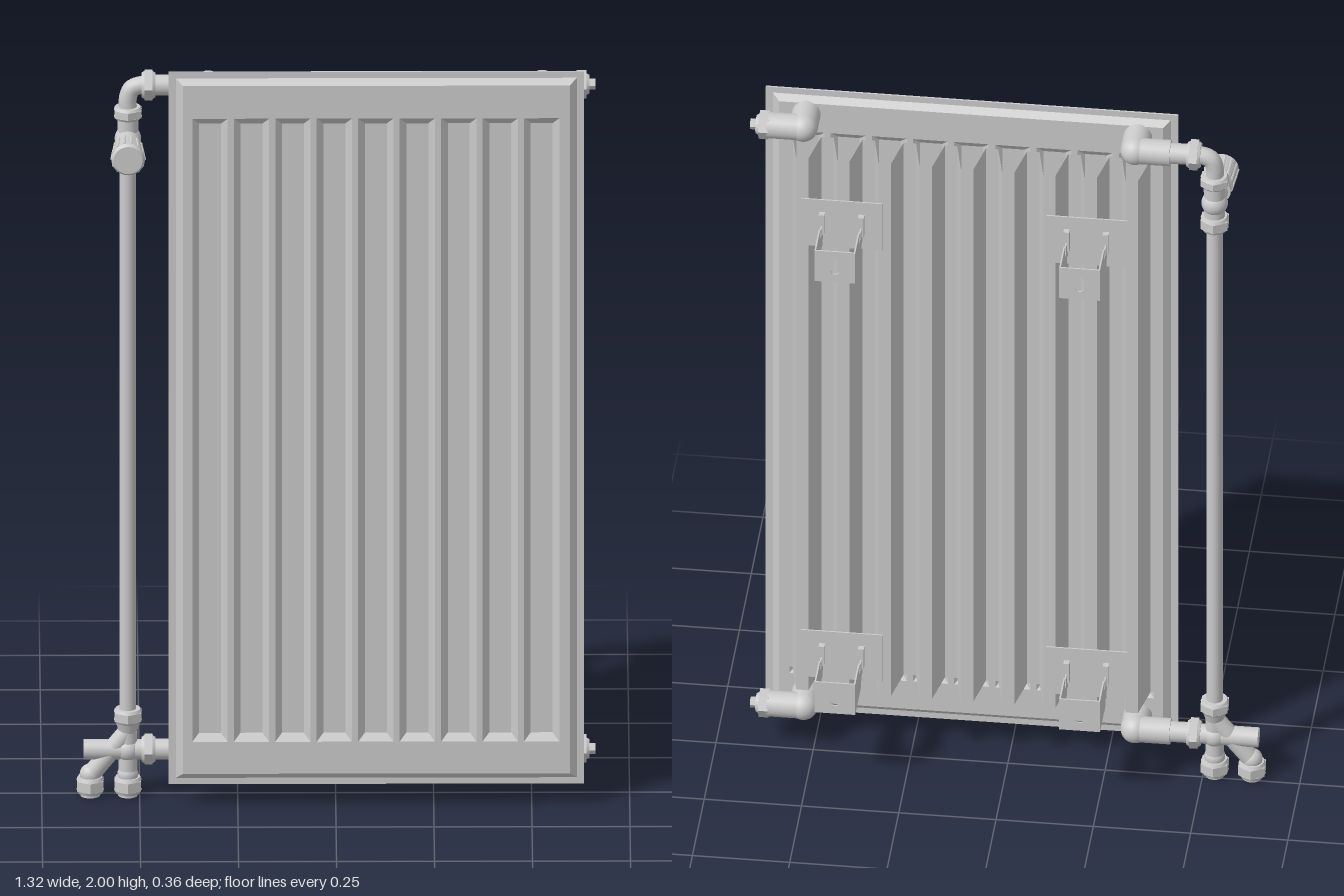
import * as THREE from 'three';

const smooth = new THREE.MeshStandardMaterial({ color: 0xcccccc });
const flat = new THREE.MeshStandardMaterial({ color: 0xcccccc, flatShading: true });
const sheet = new THREE.MeshStandardMaterial({ color: 0xcccccc, flatShading: true, side: THREE.DoubleSide });
const V = (x, y, z) => new THREE.Vector3(x, y, z);

const PITCH = 0.1058, FIRST = -0.321, COUNT = 9; // pressed grooves and fins
const AX = 0.015;   // depth of the pipe axis
const PIPE_X = -0.53;
const TOP = 1.935, LOW = 0.125; // heights of the connections

function add(parent, name, geometry, material = smooth) {
  const mesh = new THREE.Mesh(geometry, material);
  mesh.name = name;
  parent.add(mesh);
  return mesh;
}

// Cylinder or cone running from a to b
function rod(parent, name, a, b, r0, r1 = r0, sides = 24) {
  const dir = b.clone().sub(a);
  const mesh = add(parent, name, new THREE.CylinderGeometry(r1, r0, dir.length(), sides), sides < 12 ? flat : smooth);
  mesh.position.copy(a).lerp(b, 0.5);
  mesh.quaternion.setFromUnitVectors(V(0, 1, 0), dir.normalize());
  return mesh;
}

// Hexagonal nut with a round chamfered collar at each end
function nut(parent, name, a, b, r = 0.04) {
  const p = a.clone().lerp(b, 0.2), q = a.clone().lerp(b, 0.8);
  rod(parent, name, p, q, r, r, 6);
  rod(parent, name + 'Collar', a, p, r * 0.8, r * 0.9);
  rod(parent, name + 'Collar', q, b, r * 0.9, r * 0.8);
}

function ball(parent, name, p, r) {
  add(parent, name, new THREE.SphereGeometry(r, 24, 16)).position.copy(p);
}

// Pressed steel sheet: flat rim, raised field, recessed grooves
function pressedSheet(rim, field, groove, facing) {
  const xs = [[-0.427, 0], [-0.408, 0], [-0.39, 1]];
  for (let i = 0; i < COUNT; i++) {
    const c = FIRST + i * PITCH;
    xs.push([c - 0.045, 1], [c - 0.028, 2], [c + 0.028, 2], [c + 0.045, 1]);
  }
  xs.push([0.597, 1], [0.615, 0], [0.633, 0]);
  const ys = [[0.06, 0], [0.077, 0], [0.093, 1], [0.18, 1], [0.2, 2], [1.86, 2], [1.878, 1], [1.967, 1], [1.983, 0], [2, 0]];
  const levels = [rim, field, groove];
  const point = (i, j) => V(xs[i][0], ys[j][0], levels[Math.min(xs[i][1], ys[j][1])]);
  const pos = [];
  for (let i = 0; i < xs.length - 1; i++) for (let j = 0; j < ys.length - 1; j++) {
    const a = point(i, j), b = point(i + 1, j), c = point(i + 1, j + 1), d = point(i, j + 1);
    const tris = Math.abs(a.z - c.z) >= Math.abs(b.z - d.z) ? [[a, b, c], [a, c, d]] : [[a, b, d], [b, c, d]];
    for (const t of tris) for (const p of facing > 0 ? t : t.reverse()) pos.push(p.x, p.y, p.z);
  }
  const g = new THREE.BufferGeometry();
  g.setAttribute('position', new THREE.Float32BufferAttribute(pos, 3));
  g.computeVertexNormals();
  return g;
}

// Folded convector sheet behind the panel
function finSheet() {
  const line = [[FIRST - 0.066, 0.077]];
  for (let i = 0; i < COUNT; i++) {
    const c = FIRST + i * PITCH;
    line.push([c - 0.037, 0.077], [c - 0.016, -0.021], [c + 0.016, -0.021], [c + 0.037, 0.077]);
  }
  line.push([FIRST + (COUNT - 1) * PITCH + 0.066, 0.077]);
  const g = new THREE.PlaneGeometry(1, 1, line.length - 1, 1);
  const p = g.attributes.position;
  for (let i = 0; i < p.count; i++) {
    const [x, z] = line[i % line.length];
    p.setXYZ(i, x, i < line.length ? 1.865 : 0.2, z);
  }
  return g;
}

// Wall bracket: hanging plate, hooks, notched arms and a slotted back
function bracket(x, y) {
  const g = new THREE.Group();
  g.name = 'wallBracket';
  g.position.set(x, y, 0);
  add(g, 'hangingPlate', new THREE.BoxGeometry(0.21, 0.145, 0.004)).position.set(0, 0.075, -0.026);
  const profile = new THREE.Shape([
    [0.178, 0.095], [0.085, 0.095], [0.085, 0.062], [0.065, 0.062], [0.065, 0.078], [0.042, 0.078], [0.032, 0.052],
    [0.018, 0.042], [0.018, 0.02], [0.038, 0.032], [0.045, 0.012], [0.06, 0.026], [0.06, 0], [0.178, 0],
  ].map(([u, v]) => new THREE.Vector2(u, v)));
  for (const s of [-1, 1]) {
    const arm = add(g, 'bracketArm', new THREE.ExtrudeGeometry(profile, { depth: 0.004, bevelEnabled: false }));
    arm.rotation.y = Math.PI / 2;
    arm.position.x = s * 0.0505 - 0.002;
    add(g, 'hook', new THREE.BoxGeometry(0.015, 0.06, 0.034)).position.set(s * 0.0505, 0.08, -0.027);
  }
  const back = new THREE.Shape();
  back.moveTo(-0.0525, 0).lineTo(0.0525, 0).lineTo(0.0525, 0.095).lineTo(-0.0525, 0.095);
  const slot = new THREE.Path();
  slot.absarc(0, 0.06, 0.011, 0, Math.PI).absarc(0, 0.035, 0.011, Math.PI, Math.PI * 2);
  back.holes.push(slot);
  add(g, 'wallPlate', new THREE.ExtrudeGeometry(back, { depth: 0.004, bevelEnabled: false })).position.z = -0.178;
  return g;
}

// Round elbow leaving the back of the panel and turning sideways
function cornerFitting(parent, x, y, side) {
  const c = V(x, y, AX);
  rod(parent, 'cornerStub', V(x, y, 0.085), c, 0.037);
  ball(parent, 'cornerElbow', c, 0.037);
  rod(parent, 'cornerSleeve', c, V(x + side * 0.092, y, AX), 0.034);
}

export function createModel() {
  const model = new THREE.Group();
  model.name = 'radiator';

  // Panel: two pressed sheets joined at the rim
  const panel = new THREE.Group();
  panel.name = 'panel';
  model.add(panel);
  add(panel, 'frontSheet', pressedSheet(0.096, 0.11, 0.097, 1), flat);
  add(panel, 'backSheet', pressedSheet(0.091, 0.077, 0.09, -1), flat);
  const w = 1.06, h = 1.94;
  for (const s of [-1, 1]) {
    add(panel, 'sideSeam', new THREE.BoxGeometry(0.004, h, 0.005)).position.set(0.103 + s * (w / 2 - 0.002), 1.03, 0.0935);
    add(panel, 'endSeam', new THREE.BoxGeometry(w, 0.004, 0.005)).position.set(0.103, 1.03 + s * (h / 2 - 0.002), 0.0935);
  }
  add(model, 'convectorFins', finSheet(), sheet);
  for (const x of [-0.206, 0.423]) for (const y of [1.595, 0.245]) model.add(bracket(x, y));

  // Corner fittings, with end plugs on the left and nuts on the supply side
  const fittings = new THREE.Group();
  fittings.name = 'fittings';
  model.add(fittings);
  for (const y of [TOP, LOW]) {
    const at = x => V(x, y, AX);
    cornerFitting(fittings, 0.527, y, 1);
    rod(fittings, 'plugHex', at(0.615), at(0.64), 0.037, 0.037, 6);
    rod(fittings, 'plugFace', at(0.64), at(0.648), 0.028, 0.024);
    rod(fittings, 'bleedPin', at(0.645), at(0.663), 0.014, 0.014, 6);
    cornerFitting(fittings, -0.325, y, -1);
    rod(fittings, 'tailPiece', at(-0.41), at(-0.465), 0.027);
    nut(fittings, 'unionNut', at(-0.46), at(-0.495));
  }

  // Upper thermostatic valve
  const valve = new THREE.Group();
  valve.name = 'thermostatValve';
  model.add(valve);
  const up = (y, z = AX) => V(PIPE_X, y, z);
  const bend = new THREE.CatmullRomCurve3([V(-0.46, TOP, AX), V(-0.495, TOP, AX), V(-0.52, TOP - 0.01, AX), up(TOP - 0.035), up(1.87)]);
  add(valve, 'bend', new THREE.TubeGeometry(bend, 20, 0.023, 20));
  nut(valve, 'upperNut', up(1.877), up(1.845));
  rod(valve, 'valveBody', up(1.85), up(1.745), 0.027);
  ball(valve, 'valveCore', up(1.79), 0.034);
  nut(valve, 'lowerNut', up(1.752), up(1.71));
  rod(valve, 'valveNeck', up(1.79), up(1.79, 0.075), 0.028);
  rod(valve, 'knobCollar', up(1.79, 0.065), up(1.79, 0.09), 0.035);
  rod(valve, 'knob', up(1.79, 0.088), up(1.79, 0.17), 0.036, 0.043);
  rod(valve, 'knobFace', up(1.79, 0.17), up(1.79, 0.178), 0.043, 0.037);
  for (let i = 0; i < 14; i++) {
    const a = i / 14 * Math.PI * 2, dx = Math.cos(a), dy = Math.sin(a);
    rod(valve, 'knobRib', V(PIPE_X + dx * 0.036, 1.79 + dy * 0.036, 0.095),
      V(PIPE_X + dx * 0.0415, 1.79 + dy * 0.0415, 0.166), 0.004, 0.004, 6);
  }

  // Riser pipe
  rod(model, 'riserPipe', up(1.72), up(0.22), 0.021);

  // Lower connection block with two floor outlets
  const block = new THREE.Group();
  block.name = 'connectionBlock';
  model.add(block);
  nut(block, 'riserNut', up(0.237), up(0.2));
  rod(block, 'blockNeck', up(0.205), up(0.17), 0.033, 0.022);
  rod(block, 'blockStem', up(0.175), up(0.05), 0.024);
  rod(block, 'crossTube', V(-0.643, LOW, AX), V(-0.49, LOW, AX), 0.026);
  ball(block, 'blockCore', up(LOW), 0.032);
  rod(block, 'diagonalBranch', up(0.175), V(-0.622, 0.06, AX), 0.024);
  for (const x of [PIPE_X, -0.626]) {
    ball(block, 'outletNeck', V(x, 0.058, AX), 0.027);
    nut(block, 'outletNut', V(x, 0.052, AX), V(x, 0.008, AX), 0.039);
    rod(block, 'outletEnd', V(x, 0.012, AX), V(x, 0, AX), 0.025);
  }
  return model;
}
